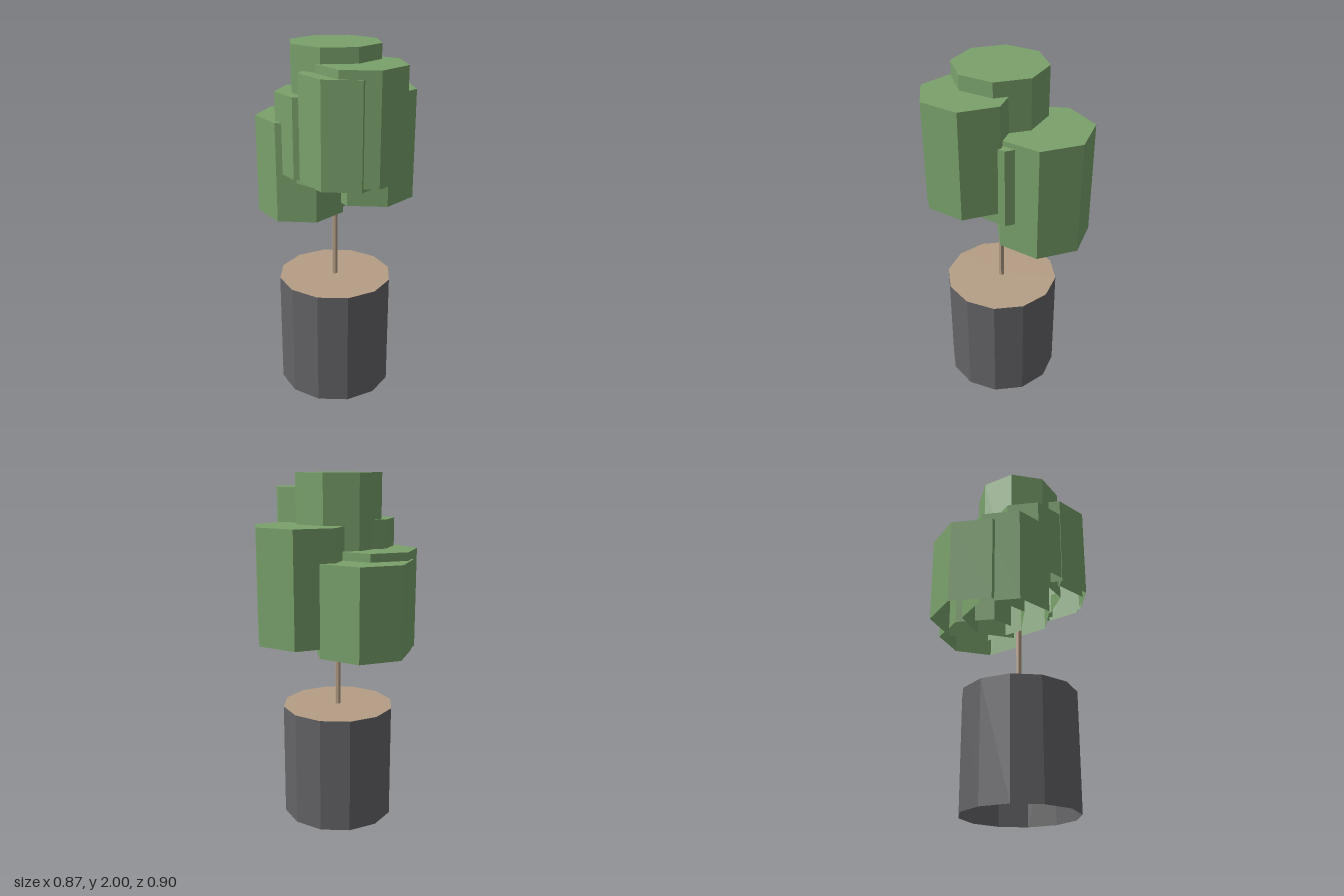
import * as THREE from 'three';

const material = (name, color) => {
  const m = new THREE.MeshStandardMaterial({ color, flatShading: true, side: THREE.DoubleSide });
  m.name = name;
  return m;
};

// Prism with its first corner on +x; closed on top, open below
function prism(name, mat, sides, radius, bottom, top, x, z, capped = true) {
  const profile = [new THREE.Vector2(radius, bottom), new THREE.Vector2(radius, top)];
  if (capped) profile.push(new THREE.Vector2(0, top));
  const mesh = new THREE.Mesh(new THREE.LatheGeometry(profile, sides, Math.PI / 2), mat);
  mesh.name = name;
  mesh.position.set(x, 0, z);
  return mesh;
}

export function createModel() {
  const model = new THREE.Group();
  model.name = 'pottedTree';

  const leaf = material('leaf green', 0x7aa26c);
  const charcoal = material('pot charcoal', 0x656467);
  const tan = material('soil tan', 0xb59e86);
  const cx = 0.01, cz = 0.045;

  // Pot, open below, filled with soil up to the rim
  model.add(prism('pot', charcoal, 12, 0.325, 0, 0.667, cx, cz, false));
  const soil = new THREE.Mesh(new THREE.CircleGeometry(0.325, 12).rotateX(-Math.PI / 2), tan);
  soil.name = 'soil';
  soil.position.set(cx, 0.667, cz);
  model.add(soil);

  // Thin trunk
  model.add(prism('trunk', tan, 6, 0.016, 0.667, 1.5, cx, cz));

  // Foliage clumps: sides, radius, bottom, top, x, z
  const foliage = new THREE.Group();
  foliage.name = 'foliage';
  [
    ['crownClump', 8, 0.251, 1.265, 2.0, 0.011, 0.044],
    ['backLeftClump', 7, 0.262, 1.1, 1.728, 0.143, -0.195],
    ['backRightClump', 7, 0.273, 1.05, 1.55, -0.193, -0.15],
    ['rightClump', 7, 0.249, 1.04, 1.595, -0.201, 0.01],
    ['frontRightClump', 7, 0.207, 1.315, 1.752, -0.086, 0.115],
    ['frontLeftClump', 7, 0.239, 1.33, 1.92, 0.196, 0.185],
    ['frontClump', 7, 0.236, 1.312, 1.875, 0.115, 0.215],
    ['leftClump', 7, 0.23, 1.268, 1.7, 0.139, -0.025],
  ].forEach(([name, ...size]) => foliage.add(prism(name, leaf, ...size)));
  model.add(foliage);

  return model;
}
